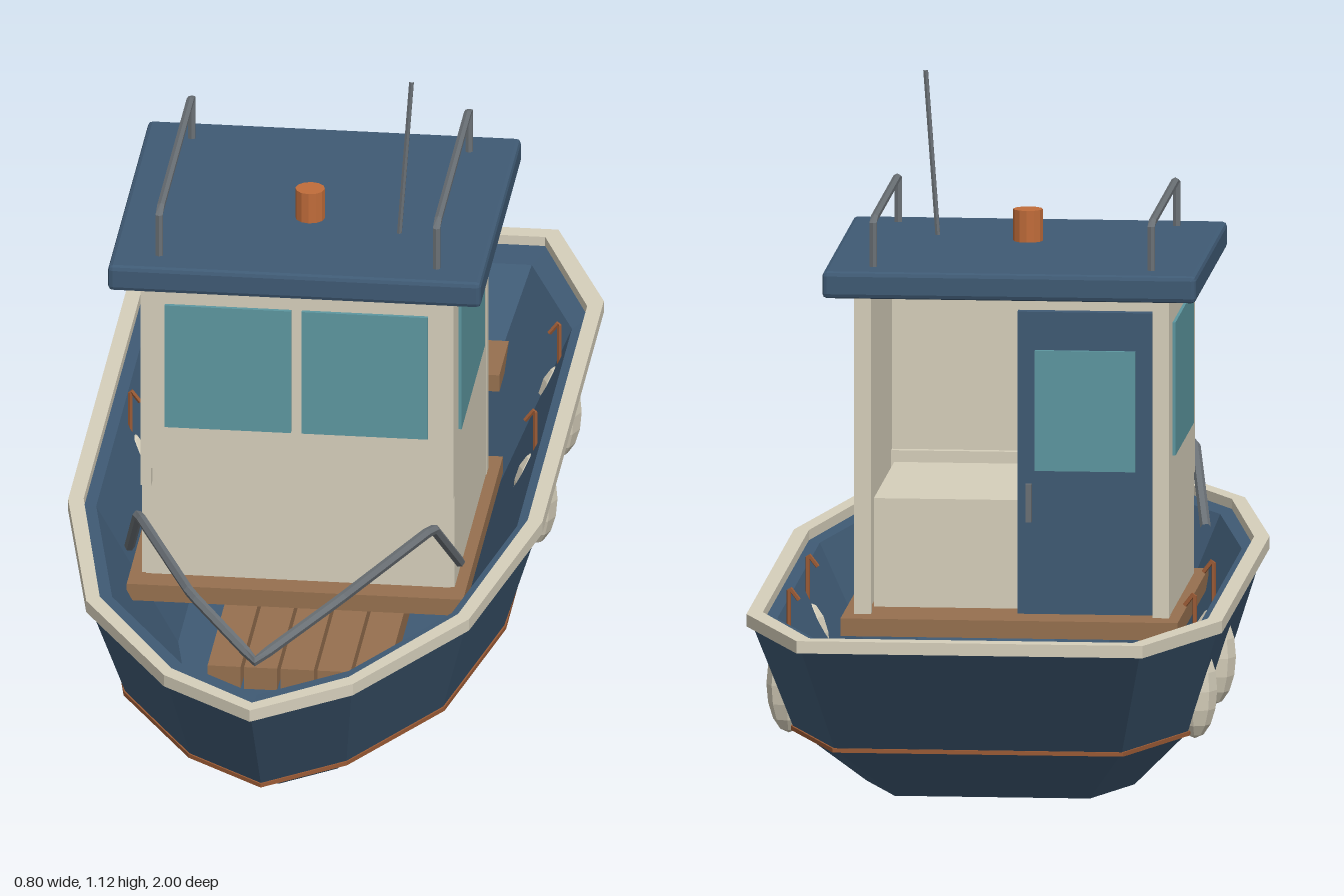
import * as THREE from 'three';
import { RoundedBoxGeometry } from 'three/addons/geometries/RoundedBoxGeometry.js';

const mat = (color, side = THREE.FrontSide) =>
  new THREE.MeshStandardMaterial({ color, flatShading: true, side });
const M = {
  blue: mat(0x3f5a74), cream: mat(0xd6cfbb), glass: mat(0x5d97a0),
  wood: mat(0x96704f), orange: mat(0xc06c3a), stripe: mat(0x9a5a35), metal: mat(0x6a7075),
};

// Half outline of the hull at the sheer, bow to stern (x, z)
const half = [[0, 0.985], [0.157, 0.86], [0.318, 0.58], [0.394, 0.18], [0.394, -0.71], [0.287, -0.985]];
const outline = [...half, ...half.slice(1).reverse().map(([x, z]) => [-x, z])];

// Skin a series of scaled outlines; each ring is [x scale, z scale, y]
function loft(rings) {
  const pos = [], n = outline.length;
  const point = ([sx, sz, y], i) => [outline[i % n][0] * sx, y, outline[i % n][1] * sz];
  for (let r = 0; r < rings.length - 1; r++) {
    for (let i = 0; i < n; i++) {
      const a = point(rings[r], i), b = point(rings[r], i + 1);
      const c = point(rings[r + 1], i + 1), d = point(rings[r + 1], i);
      if (rings[r][0] > 0) pos.push(...a, ...b, ...c);
      if (rings[r + 1][0] > 0) pos.push(...a, ...c, ...d);
      else if (rings[r][0] === 0) continue;
    }
  }
  const g = new THREE.BufferGeometry();
  g.setAttribute('position', new THREE.Float32BufferAttribute(pos, 3));
  g.computeVertexNormals();
  return g;
}

// Straight-segmented pipe through a few points
function pipe(points, radius, sides = 6) {
  const path = new THREE.CurvePath();
  const v = points.map((p) => new THREE.Vector3(...p));
  for (let i = 1; i < v.length; i++) path.add(new THREE.LineCurve3(v[i - 1], v[i]));
  return new THREE.TubeGeometry(path, (v.length - 1) * 8, radius, sides, false);
}

export function createModel() {
  const boat = new THREE.Group();
  boat.name = 'boat';

  const add = (name, geometry, material, parent = boat) => {
    const m = new THREE.Mesh(geometry, material);
    m.name = name;
    parent.add(m);
    return m;
  };
  // Box given by its limits on each axis
  const box = (name, [x0, x1], [y0, y1], [z0, z1], material, parent = boat) => {
    const m = add(name, new THREE.BoxGeometry(x1 - x0, y1 - y0, z1 - z0), material, parent);
    m.position.set((x0 + x1) / 2, (y0 + y1) / 2, (z0 + z1) / 2);
    return m;
  };

  // Hull: bottom, chine, sheer, side deck and open well
  add('hull', loft([
    [0, 0, 0], [0.575, 0.575, 0], [0.845, 0.845, 0.12], [1, 1, 0.315],
    [0.905, 0.905, 0.312], [0.57, 0.57, 0.04], [0, 0, 0.04],
  ]), M.blue);
  add('rubRail', loft([
    [0.955, 0.98, 0.31], [1.02, 1.013, 0.31], [1.02, 1.013, 0.331],
    [0.955, 0.98, 0.331], [0.955, 0.98, 0.31],
  ]), M.cream);
  add('waterlineStripe', loft([
    [0.83, 0.835, 0.116], [0.855, 0.851, 0.116], [0.855, 0.851, 0.123], [0.83, 0.835, 0.123],
  ]), M.stripe);

  // Floor slats, bench and platform below the cabin
  for (let i = -2; i <= 2; i++) {
    box('floorSlat', [i * 0.062 - 0.028, i * 0.062 + 0.028], [0.05, 0.09], [-0.425, 0.3], M.wood);
  }
  box('sternBench', [-0.235, 0.235], [0.195, 0.225], [-0.77, -0.63], M.wood);
  box('cabinPlatform', [-0.285, 0.285], [0.22, 0.25], [-0.25, 0.335], M.wood);

  // Cabin
  const cabin = new THREE.Group();
  cabin.name = 'cabin';
  boat.add(cabin);
  box('console', [-0.24, 0.24], [0.25, 0.435], [-0.12, 0.28], M.cream, cabin);
  box('lowerFrontWall', [-0.258, 0.258], [0.25, 0.455], [0.265, 0.288], M.cream, cabin);
  box('upperFrontWall', [-0.252, 0.252], [0.455, 0.785], [0.28, 0.31], M.cream, cabin);
  for (const s of [-1, 1]) {
    const wall = box('sideWall', [-0.01, 0.01], [0.25, 0.8], [-0.19, 0.285], M.cream, cabin);
    wall.position.x = s * 0.255;
    const corner = box('cornerPost', [-0.009, 0.009], [0.42, 0.8], [0.28, 0.305], M.cream, cabin);
    corner.position.x = s * 0.256;
    const side = box('sideWindow', [-0.004, 0.004], [0.515, 0.742], [-0.12, 0.225], M.glass, cabin);
    side.position.x = s * 0.266;
    const front = box('frontWindow', [-0.107, 0.107], [0.535, 0.76], [0.306, 0.317], M.glass, cabin);
    front.position.x = s * 0.116;
    const post = box('rearPost', [-0.014, 0.014], [0.25, 0.8], [-0.2, -0.175], M.cream, cabin);
    post.position.x = s * 0.252;
  }

  // Rear door covering one half of the opening
  const door = new THREE.Group();
  door.name = 'door';
  cabin.add(door);
  box('doorPanel', [-0.238, -0.01], [0.255, 0.77], [-0.204, -0.184], M.blue, door);
  box('doorWindow', [-0.21, -0.04], [0.5, 0.705], [-0.212, -0.18], M.glass, door);
  box('doorHandle', [-0.036, -0.026], [0.415, 0.48], [-0.232, -0.222], M.metal, door);
  for (const y of [0.425, 0.47]) {
    box('handleMount', [-0.035, -0.027], [y - 0.004, y + 0.004], [-0.225, -0.2], M.metal, door);
  }

  // Roof with its fittings
  const roof = add('roof', new RoundedBoxGeometry(0.632, 0.046, 0.6, 1, 0.008), M.blue, cabin);
  roof.position.set(0, 0.818, 0.047);
  const funnel = add('funnel', new THREE.CylinderGeometry(0.025, 0.025, 0.06, 12), M.orange, cabin);
  funnel.position.set(0, 0.865, 0.11);
  add('antenna', pipe([[0.156, 0.835, 0.155], [0.177, 1.122, 0.155]], 0.0045), M.metal, cabin);

  for (const s of [-1, 1]) {
    add('roofRail', pipe([
      [s * 0.235, 0.835, -0.188], [s * 0.235, 0.92, -0.188],
      [s * 0.235, 0.92, 0.29], [s * 0.235, 0.835, 0.29],
    ], 0.007), M.metal, cabin);

    // Fenders hung from the rail
    for (const z of [-0.22, -0.575]) {
      const fender = add('fender', new THREE.SphereGeometry(1, 8, 8), M.cream);
      fender.scale.set(0.038, 0.083, 0.037);
      fender.position.set(s * 0.343, 0.19, z);
      add('fenderRope', pipe([
        [s * 0.343, 0.25, z], [s * 0.343, 0.355, z], [s * 0.326, 0.333, z],
      ], 0.004, 5), M.stripe);
    }
  }

  // Bow rail
  add('bowRail', pipe([
    [-0.28, 0.32, 0.335], [-0.25, 0.442, 0.47], [-0.125, 0.442, 0.78], [0, 0.387, 0.92],
    [0.125, 0.442, 0.78], [0.25, 0.442, 0.47], [0.28, 0.32, 0.335],
  ], 0.009), M.metal);

  return boat;
}
